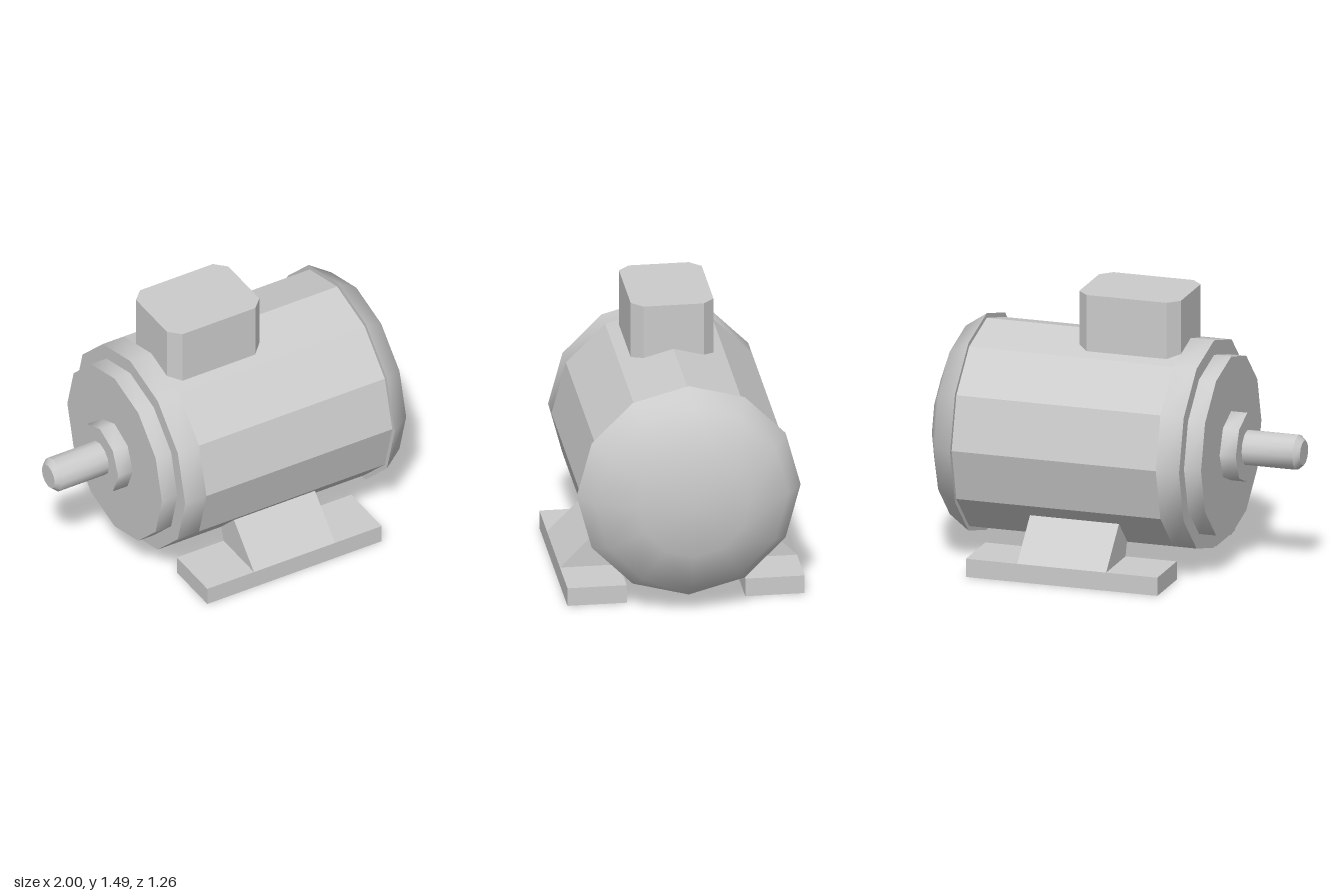
import * as THREE from 'three';
import { toCreasedNormals } from 'three/addons/utils/BufferGeometryUtils.js';

const AXIS_Y = 0.665;
const grey = new THREE.MeshStandardMaterial({ color: 0xcccccc });
const flat = new THREE.MeshStandardMaterial({ color: 0xcccccc, flatShading: true });
const shell = new THREE.MeshStandardMaterial({ color: 0xcccccc, flatShading: true, side: THREE.DoubleSide });

// Solid turned about the motor axis from [x, radius] pairs
function turned(name, profile, sides, crease, material = grey) {
  const points = profile.map(([x, r]) => new THREE.Vector2(r, x));
  const geometry = toCreasedNormals(new THREE.LatheGeometry(points, sides), crease);
  geometry.rotateZ(-Math.PI / 2);
  const mesh = new THREE.Mesh(geometry, material);
  mesh.name = name;
  mesh.position.y = AXIS_Y;
  return mesh;
}

// Thin surface made of four-cornered panels
function panels(quads) {
  const positions = [];
  for (const [a, b, c, d] of quads) positions.push(...a, ...b, ...c, ...a, ...c, ...d);
  const geometry = new THREE.BufferGeometry();
  geometry.setAttribute('position', new THREE.Float32BufferAttribute(positions, 3));
  geometry.computeVertexNormals();
  return geometry;
}

// Hollow mounting foot, open underneath; side is +1 or -1 along z
function foot(name, side) {
  const x0 = -0.4, x1 = 0.665, p0 = -0.115, p1 = 0.38;
  const inner = 0.315, outer = 0.63, h = 0.1;
  const p = (x, y, z) => [x, y, z * side];
  const quads = [];
  // long walls
  for (const z of [inner, outer]) quads.push([p(x0, 0, z), p(x1, 0, z), p(x1, h, z), p(x0, h, z)]);
  // end walls
  for (const x of [x0, x1]) quads.push([p(x, 0, outer), p(x, 0, inner), p(x, h, inner), p(x, h, outer)]);
  // top plates beside the pedestal
  for (const [a, b] of [[x0, p0], [p1, x1]]) {
    quads.push([p(a, h, outer), p(b, h, outer), p(b, h, inner), p(a, h, inner)]);
  }
  // pedestal: sloping face, inner face and cheeks
  const top = [0.31, 0.42], low = [0.18, 0.29];
  quads.push([p(p0, h, outer), p(p1, h, outer), p(p1, ...top), p(p0, ...top)]);
  quads.push([p(p0, h, inner), p(p1, h, inner), p(p1, ...low), p(p0, ...low)]);
  for (const x of [p0, p1]) quads.push([p(x, h, outer), p(x, ...top), p(x, ...low), p(x, h, inner)]);
  if (side < 0) quads.forEach((q) => q.reverse());
  const mesh = new THREE.Mesh(panels(quads), shell);
  mesh.name = name;
  return mesh;
}

// Terminal box with chamfered vertical corners
function terminalBox() {
  const x0 = -0.37, x1 = 0.195, z = 0.22, c = 0.06;
  const outline = new THREE.Shape([
    [x0 + c, -z], [x1 - c, -z], [x1, -z + c], [x1, z - c],
    [x1 - c, z], [x0 + c, z], [x0, z - c], [x0, -z + c],
  ].map(([a, b]) => new THREE.Vector2(a, b)));
  const geometry = new THREE.ExtrudeGeometry(outline, { depth: 0.365, bevelEnabled: false });
  geometry.rotateX(-Math.PI / 2);
  const mesh = new THREE.Mesh(geometry, flat);
  mesh.name = 'terminalBox';
  mesh.position.y = 1.12;
  return mesh;
}

export function createModel() {
  const motor = new THREE.Group();
  motor.name = 'electricMotor';

  // faceted housing
  motor.add(turned('housing', [[-0.37, 0.57], [0.765, 0.57]], 12, 0.1, flat));

  // stepped end plate at the shaft side
  motor.add(turned('endPlate', [
    [-0.595, 0], [-0.595, 0.49], [-0.5, 0.49], [-0.5, 0.57], [-0.37, 0.57],
  ], 12, 0.7));
  motor.add(turned('bearingBoss', [[-0.685, 0], [-0.685, 0.19], [-0.595, 0.19]], 8, 0.9));

  // output shaft with chamfered tip
  motor.add(turned('shaft', [[-1, 0], [-1, 0.067], [-0.968, 0.095], [-0.685, 0.095]], 12, 0.6));

  // domed fan cover
  const dome = [[0.765, 0]];
  for (let i = 0; i <= 3; i++) {
    const a = (i / 3) * Math.PI / 2;
    dome.push([0.765 + 0.235 * Math.sin(a), i === 3 ? 0 : 0.595 * Math.cos(a)]);
  }
  motor.add(turned('fanCover', dome, 12, 0.85));

  motor.add(terminalBox());
  motor.add(foot('frontFoot', 1), foot('backFoot', -1));
  return motor;
}
